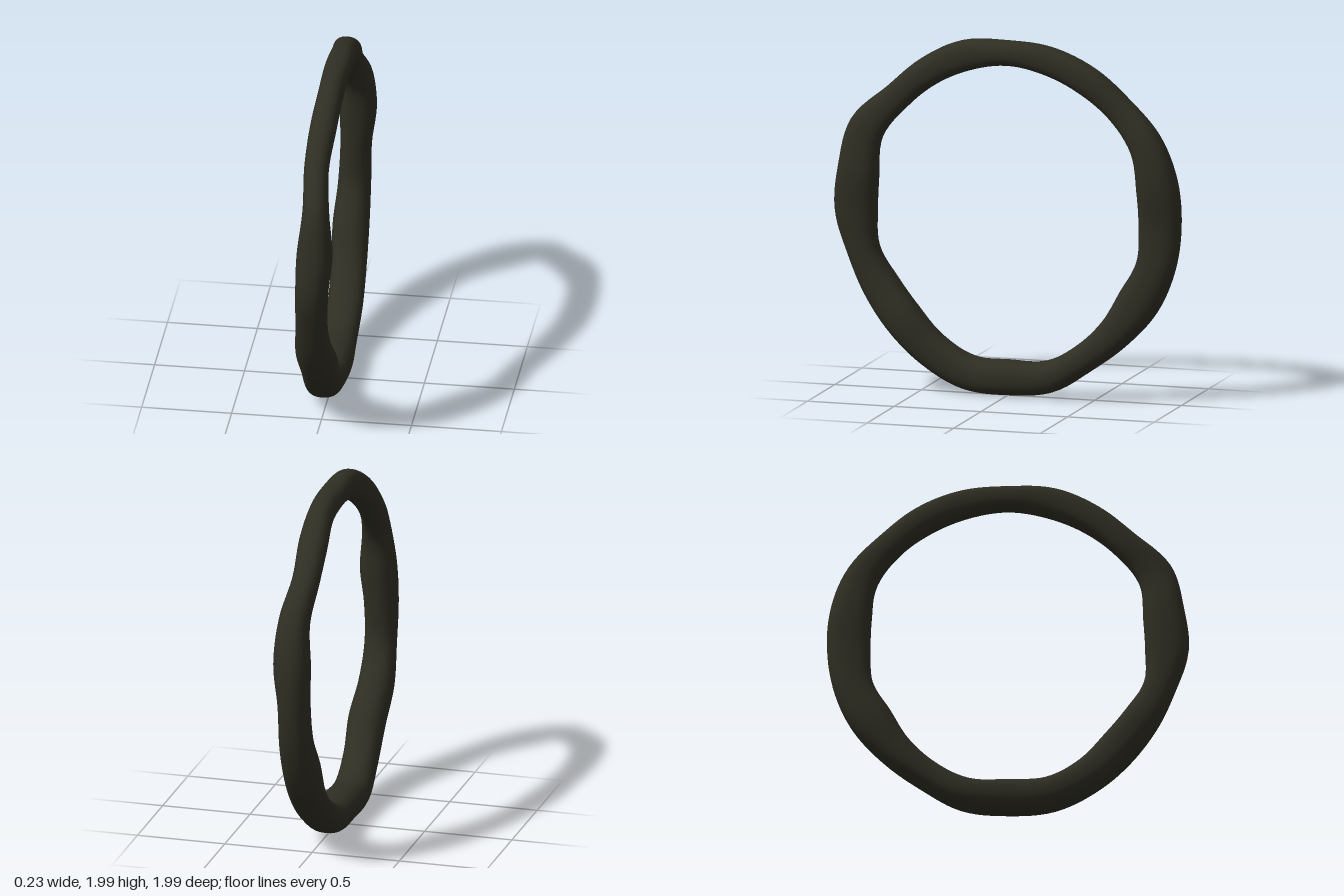
import * as THREE from 'three';

// Ring stations every 15 degrees, from the front (+z) up over the top and round.
const INNER = [.755, .77, .832, .83, .838, .848, .86, .85, .838, .832, .827, .775,
  .755, .768, .745, .77, .795, .818, .795, .813, .78, .74, .745, .774];
const OUTER = [.995, 1.004, 1.035, .99, 1.003, 1.02, 1.0, 1.01, 1.0, .988, 1.015, 1.01,
  .995, .988, .98, .96, .958, .995, .99, 1.005, .98, .955, .95, .955];
const RIGHT = [.09, .11, .085, .06, .075, .085, .09, .09, .085, .07, .1, .11,
  .08, .08, .085, .09, .095, .09, .1, .085, .09, .105, .085, .08];
const LEFT = [-.09, -.085, -.06, -.075, -.07, -.055, -.055, -.05, -.075, -.08, -.07, -.09,
  -.09, -.1, -.115, -.105, -.1, -.115, -.115, -.12, -.105, -.1, -.11, -.095];

// Smooth closed interpolation through the stations, u in 0..1
function sample(list, u) {
  const n = list.length, f = u * n, i = Math.floor(f), t = f - i;
  const [a, b, c, d] = [-1, 0, 1, 2].map(k => list[(i + k + n) % n]);
  return b + 0.5 * t * (c - a + t * (2 * a - 5 * b + 4 * c - d + t * (3 * (b - c) + d - a)));
}

// Rounded-square version of sine and cosine
const soften = v => Math.sign(v) * Math.pow(Math.abs(v), 0.85);

function lumpyRing(segments, sides) {
  const positions = [], indices = [];
  for (let i = 0; i < segments; i++) {
    const u = i / segments, a = u * Math.PI * 2;
    const r0 = sample(INNER, u), r1 = sample(OUTER, u);
    const x0 = sample(LEFT, u), x1 = sample(RIGHT, u);
    for (let j = 0; j < sides; j++) {
      const t = (j / sides) * Math.PI * 2;
      const r = (r0 + r1) / 2 + (r1 - r0) / 2 * soften(Math.cos(t));
      const x = (x0 + x1) / 2 + (x1 - x0) / 2 * soften(Math.sin(t));
      positions.push(x, 1 + r * Math.sin(a), r * Math.cos(a));
      const jn = (j + 1) % sides, row = i * sides, next = ((i + 1) % segments) * sides;
      indices.push(row + j, row + jn, next + j, row + jn, next + jn, next + j);
    }
  }
  const geometry = new THREE.BufferGeometry();
  geometry.setAttribute('position', new THREE.Float32BufferAttribute(positions, 3));
  geometry.setIndex(indices);
  geometry.computeVertexNormals();
  return geometry;
}

export function createModel() {
  const group = new THREE.Group();
  group.name = 'unevenRing';
  const darkOlive = new THREE.MeshStandardMaterial({ color: 0x2f2e23 });
  darkOlive.name = 'darkOlive';

  // Uneven hand-shaped ring standing on its edge
  const ring = new THREE.Mesh(lumpyRing(144, 32), darkOlive);
  ring.name = 'ring';
  group.add(ring);
  return group;
}
